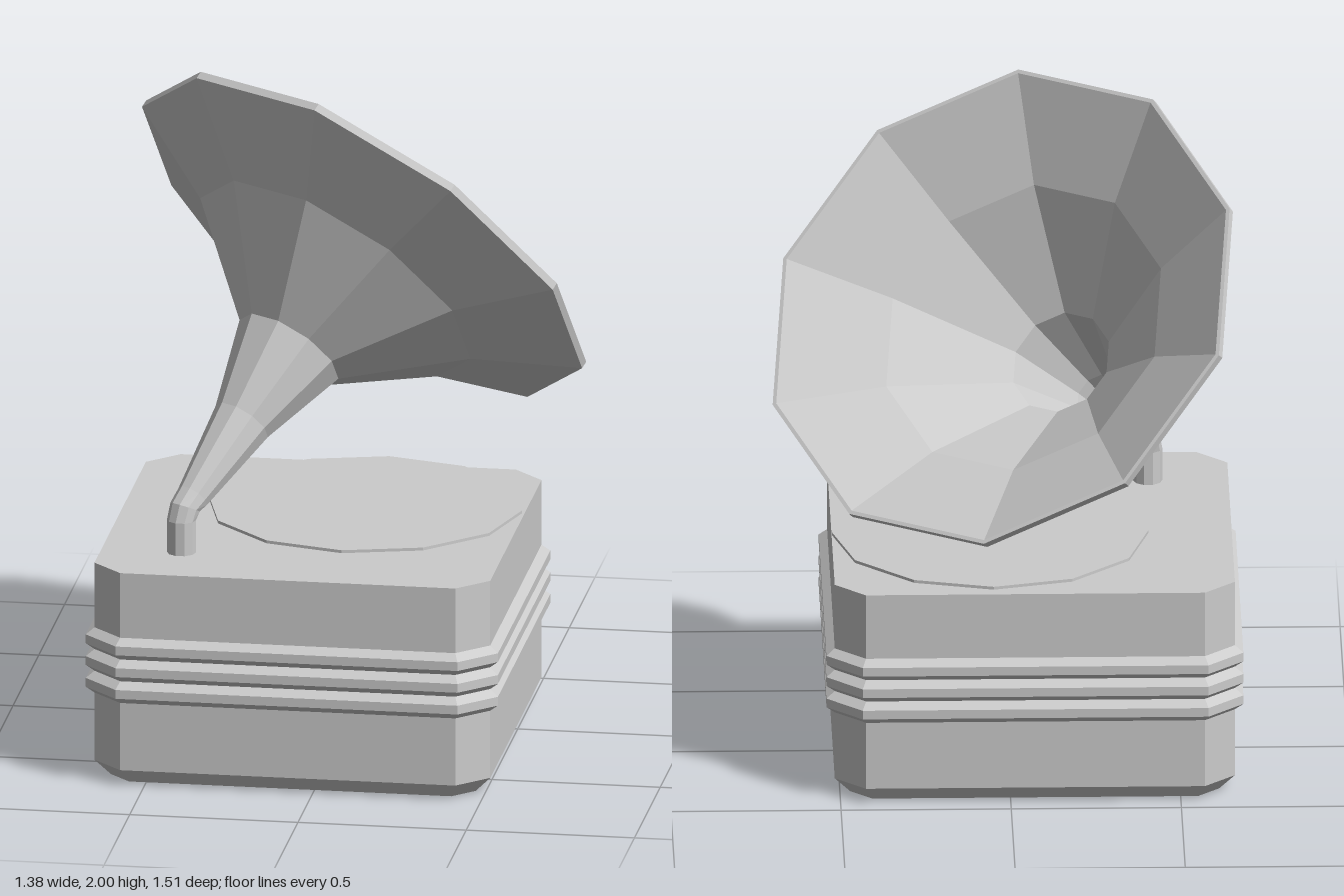
import * as THREE from 'three';

const material = new THREE.MeshStandardMaterial({ color: 0xcccccc, flatShading: true });

// Skins a list of equal-length point loops with quads and caps both ends.
function loft(name, loops) {
  const pos = [];
  const tri = (a, b, c) => pos.push(...a.toArray(), ...b.toArray(), ...c.toArray());
  const n = loops[0].length;
  for (let k = 0; k < loops.length - 1; k++) {
    const a = loops[k], b = loops[k + 1];
    for (let i = 0; i < n; i++) {
      const j = (i + 1) % n;
      tri(a[i], a[j], b[j]);
      tri(a[i], b[j], b[i]);
    }
  }
  const first = loops[0], last = loops[loops.length - 1];
  for (let i = 1; i < n - 1; i++) {
    tri(first[0], first[i + 1], first[i]);
    tri(last[0], last[i], last[i + 1]);
  }
  const geometry = new THREE.BufferGeometry();
  geometry.setAttribute('position', new THREE.Float32BufferAttribute(pos, 3));
  geometry.computeVertexNormals();
  const mesh = new THREE.Mesh(geometry, material);
  mesh.name = name;
  return mesh;
}

// Square outline with cut corners, offset evenly as it grows or shrinks.
const HALF = 0.588, CUT = 0.09, BASE_X = -0.0725, BASE_Z = 0.1375;
function cutSquare(y, half) {
  const edge = HALF - CUT + (half - HALF) * Math.tan(Math.PI / 8);
  const loop = [];
  for (let q = 0; q < 4; q++) {
    const c = Math.round(Math.cos(q * Math.PI / 2)), s = Math.round(Math.sin(q * Math.PI / 2));
    for (const v of [-edge, edge]) {
      loop.push(new THREE.Vector3(BASE_X + half * c - v * s, y, BASE_Z - half * s - v * c));
    }
  }
  return loop;
}

// Horn frame: everything lies in one vertical plane through the mouth centre.
const mouth = new THREE.Vector3(0.0175, 1.4475, -0.17);
const heading = new THREE.Vector3(0.553, 0, -0.833).normalize();
const upAxis = new THREE.Vector3(0, 1, 0);
const side = new THREE.Vector3().crossVectors(heading, upAxis);
const PITCH = 0.702;

// Ten-sided ring at distance s along the heading, height y, tilted by pitch.
function hornRing(s, y, pitch, r) {
  const centre = mouth.clone().addScaledVector(heading, s).setY(y);
  const up = heading.clone().multiplyScalar(-Math.sin(pitch)).addScaledVector(upAxis, Math.cos(pitch));
  return Array.from({ length: 10 }, (_, i) => {
    const a = (i + 0.5) * Math.PI / 5;
    return centre.clone().addScaledVector(up, r * Math.cos(a)).addScaledVector(side, r * Math.sin(a));
  });
}

// Ring on the straight horn axis, t back from the mouth.
const axisRing = ([t, r]) =>
  hornRing(-t * Math.cos(PITCH), mouth.y - t * Math.sin(PITCH), PITCH, r);

export function createModel() {
  const model = new THREE.Group();
  model.name = 'phonograph';

  // Case with bevelled foot
  model.add(loft('case', [cutSquare(0, 0.542), cutSquare(0.048, HALF), cutSquare(0.655, HALF)]));

  // Three moulding bands around the case
  for (let i = 0; i < 3; i++) {
    const y = 0.255 + i * 0.067;
    model.add(loft('mouldingBand' + (i + 1), [
      cutSquare(y, HALF), cutSquare(y + 0.02, 0.6125),
      cutSquare(y + 0.047, 0.6125), cutSquare(y + 0.067, HALF),
    ]));
  }

  // Thin record disc
  const disc = new THREE.Mesh(new THREE.CylinderGeometry(0.465, 0.465, 0.009, 12), material);
  disc.name = 'recordDisc';
  disc.position.set(0.05, 0.674, 0.015);
  model.add(disc);

  // Pipe, bend, flared bell, lip and hollow inside as one skin
  const outer = [[0.98, 0.049], [0.7, 0.09], [0.43, 0.17], [0.165, 0.465], [0.012, 0.757], [-0.012, 0.757]];
  const inner = [[-0.012, 0.745], [0.15, 0.455], [0.42, 0.158], [0.7, 0.075], [0.9, 0.04]];
  model.add(loft('horn', [
    hornRing(-0.797, 0.65, Math.PI / 2, 0.043),
    hornRing(-0.797, 0.755, Math.PI / 2, 0.043),
    hornRing(-0.782, 0.79, 1.12, 0.045),
    ...[...outer, ...inner].map(axisRing),
  ]));

  return model;
}
